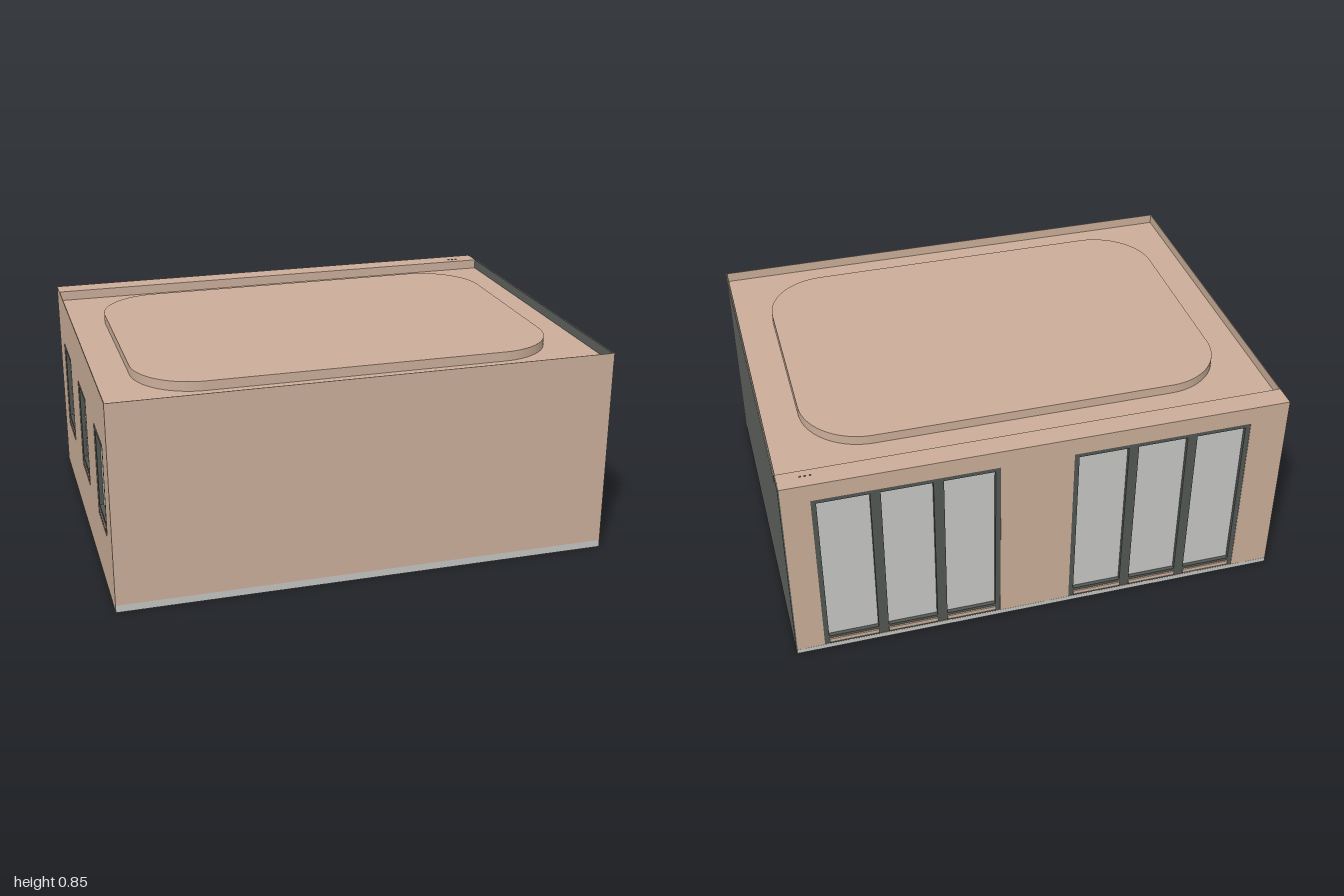
import * as THREE from 'three';

const mat = (name, color) => {
  const m = new THREE.MeshStandardMaterial({ color });
  m.name = name;
  return m;
};

const FRONT = 0.766, BACK = -0.762, TOP = 0.845, ROOF = 0.805, T = 0.03;

// Rectangle as a path: u0..u1 across, y0..y1 up
function rect(Type, u0, y0, u1, y1) {
  const p = new Type();
  p.moveTo(u0, y0);
  p.lineTo(u1, y0);
  p.lineTo(u1, y1);
  p.lineTo(u0, y1);
  p.closePath();
  return p;
}

export function createModel() {
  const clay = mat('clay wall', 0xcbae99);
  const slate = mat('slate panel', 0x5f635f);
  const frameMat = mat('window frame', 0x525753);
  const glass = mat('pale glass', 0xc6c6c4);
  const plinthMat = mat('plinth grey', 0xc4c5c2);
  const house = new THREE.Group();
  house.name = 'building';

  // Box given by its min and max corners
  const box = (parent, name, m, x0, y0, z0, x1, y1, z1) => {
    const mesh = new THREE.Mesh(new THREE.BoxGeometry(x1 - x0, y1 - y0, z1 - z0), m);
    mesh.position.set((x0 + x1) / 2, (y0 + y1) / 2, (z0 + z1) / 2);
    mesh.name = name;
    parent.add(mesh);
    return mesh;
  };

  // Upright slab with rectangular openings; outer face at local z = outer
  const slab = (parent, name, m, outline, holes, depth, outer) => {
    const shape = rect(THREE.Shape, ...outline);
    holes.forEach((h) => shape.holes.push(rect(THREE.Path, ...h)));
    const geo = new THREE.ExtrudeGeometry(shape, { depth, bevelEnabled: false });
    const mesh = new THREE.Mesh(geo, m);
    mesh.position.z = outer - depth;
    mesh.name = name;
    parent.add(mesh);
  };

  // Window: frame with panes set back and a sill under each pane
  const windowUnit = (parent, name, outline, panes, sillOut) => {
    const g = new THREE.Group();
    g.name = name;
    slab(g, 'frame', frameMat, outline, panes, 0.022, -0.002);
    panes.forEach(([u0, y0, u1, y1]) => {
      box(g, 'pane', glass, u0, y0, -0.026, u1, y1, -0.018);
      box(g, 'sill', clay, u0, y0 - 0.026, -0.01, u1, y0 - 0.012, sillOut);
      box(g, 'sillEdge', frameMat, u0, y0 - 0.034, -0.01, u1, y0 - 0.026, sillOut);
    });
    parent.add(g);
  };

  // Floor, front wall and sunken roof
  box(house, 'floor', clay, -0.998, 0, BACK + 0.002, 0.998, 0.012, FRONT - 0.002);
  box(house, 'frontWall', clay, -1, 0.03, FRONT - T, 1, ROOF, FRONT);
  box(house, 'frontPlinth', plinthMat, -1, 0, FRONT - T, 1, 0.03, FRONT);
  box(house, 'roof', clay, -0.995, ROOF - 0.04, BACK + T, 0.994, ROOF, FRONT - 0.005);

  // Thin roof rims and the wider ledge at the back
  box(house, 'frontRim', clay, -1, ROOF, FRONT - 0.003, 1, TOP, FRONT);
  box(house, 'leftoverRim', clay, -1, ROOF, BACK + T, -0.997, TOP, FRONT).name = 'rightRim';
  box(house, 'backLedge', clay, -1, ROOF, BACK + T, 0.994, TOP, -0.672);

  // Rounded raised roof pad
  const [px, z0, z1, r] = [0.85, -0.535, 0.63, 0.25];
  const pad = new THREE.Shape();
  pad.absarc(px - r, -z0 - r, r, 0, Math.PI / 2);
  pad.absarc(-px + r, -z0 - r, r, Math.PI / 2, Math.PI);
  pad.absarc(-px + r, -z1 + r, r, Math.PI, Math.PI * 1.5);
  pad.absarc(px - r, -z1 + r, r, Math.PI * 1.5, Math.PI * 2);
  const padMesh = new THREE.Mesh(
    new THREE.ExtrudeGeometry(pad, { depth: 0.038, bevelEnabled: false, curveSegments: 12 }), clay);
  padMesh.rotation.x = -Math.PI / 2;
  padMesh.position.y = ROOF;
  padMesh.name = 'roofPad';
  house.add(padMesh);

  // Slate side with a clay band along its top
  box(house, 'slateSide', slate, 0.994, 0.004, BACK, 0.9995, TOP - 0.001, FRONT - 0.001);
  box(house, 'slateSideBand', clay, 0.9985, ROOF, -0.67, 1.0005, TOP, FRONT);

  // Back wall with two banks of three tall windows
  const back = new THREE.Group();
  back.name = 'backWall';
  back.rotation.y = Math.PI;
  back.position.z = BACK;
  const banks = [-0.885, 0.125].map((u) => [u, 0.022, u + 0.72, 0.77]);
  slab(back, 'backWallFace', clay, [-0.994, 0.02, 1, TOP], banks, T, 0);
  box(back, 'backPlinth', plinthMat, -0.994, 0, -T, 1, 0.02, 0.0005);
  banks.forEach((b) => {
    const panes = [0, 1, 2].map((i) => {
      const u = b[0] + 0.02 + i * 0.24;
      return [u, 0.06, u + 0.2, 0.752];
    });
    windowUnit(back, 'tallWindows', b, panes, 0.004);
  });
  house.add(back);

  // Side wall at -x with three small windows
  const side = new THREE.Group();
  side.name = 'rightWall';
  side.rotation.y = -Math.PI / 2;
  side.position.x = -1;
  const small = [-0.59, -0.095, 0.4].map((u) => [u, 0.25, u + 0.23, 0.63]);
  slab(side, 'rightWallFace', clay, [BACK + T, 0, FRONT - T, ROOF], small, T, 0);
  small.forEach((w) => {
    const pane = [w[0] + 0.025, 0.295, w[2] - 0.025, 0.607];
    windowUnit(side, 'smallWindow', w, [pane], 0);
  });
  house.add(side);

  // Tiny roof fittings on the ledge
  [0.87, 0.89, 0.908].forEach((x) =>
    box(house, 'ledgeFitting', frameMat, x - 0.004, TOP, -0.708, x + 0.004, TOP + 0.002, -0.702));

  return house;
}
